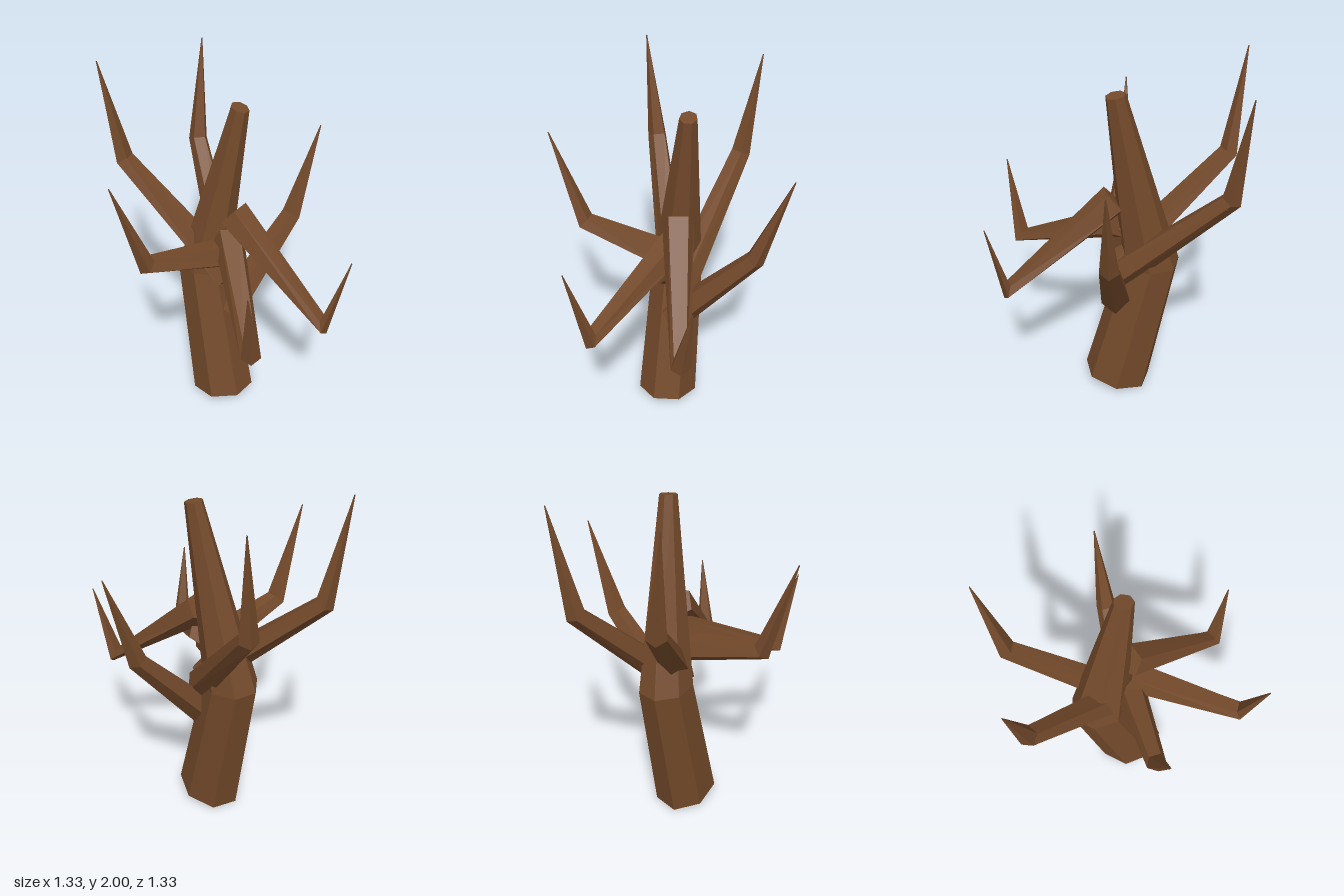
import * as THREE from 'three';

// Faceted limb: rings of vertices around a bent path, square to the path at each point.
// ref sets where angle 0 points; squash narrows the ring sideways.
function limb(path, radii, sides, ref, phase, squash = 1) {
  const pts = path.map((p) => new THREE.Vector3(...p));
  const positions = [];
  const index = [];
  const last = pts.length - 1;
  const dir = (i) => pts[i + 1].clone().sub(pts[i]).normalize();

  pts.forEach((p, i) => {
    const t = new THREE.Vector3();
    if (i > 0) t.add(dir(i - 1));
    if (i < last) t.add(dir(i));
    t.normalize();
    const u = ref.clone().addScaledVector(t, -ref.dot(t)).normalize();
    const v = t.clone().cross(u);
    for (let k = 0; k < sides; k++) {
      const a = phase + (k / sides) * Math.PI * 2;
      const q = p.clone()
        .addScaledVector(u, Math.cos(a) * radii[i])
        .addScaledVector(v, Math.sin(a) * radii[i] * squash);
      positions.push(q.x, q.y, q.z);
    }
  });

  // side faces
  for (let i = 0; i < last; i++) {
    for (let k = 0; k < sides; k++) {
      const n = (k + 1) % sides;
      const a = i * sides + k, b = i * sides + n;
      index.push(a, b, b + sides, a, b + sides, a + sides);
    }
  }
  // end caps
  const e = last * sides;
  for (let k = 1; k < sides - 1; k++) {
    index.push(0, k + 1, k, e, e + k, e + k + 1);
  }

  const g = new THREE.BufferGeometry();
  g.setAttribute('position', new THREE.Float32BufferAttribute(positions, 3));
  g.setIndex(index);
  const flat = g.toNonIndexed();
  flat.computeVertexNormals();
  return flat;
}

export function createModel() {
  const group = new THREE.Group();
  const bark = new THREE.MeshStandardMaterial({ color: 0x744a2b, flatShading: true });
  bark.name = 'bark brown';

  const add = (name, geometry) => {
    const mesh = new THREE.Mesh(geometry, bark);
    mesh.name = name;
    group.add(mesh);
  };

  // seven-sided trunk leaning back, then forward again to a blunt top
  add('trunk', limb(
    [[0, 0.04, 0], [0, 0.86, -0.185], [0.105, 1.88, 0]],
    [0.197, 0.165, 0.053], 7, new THREE.Vector3(0, 0, 1), -0.175, 0.87,
  ));

  // five-sided branches: root, elbow, pointed tip
  const branches = {
    leftBranch: [[0.035, 0.6, 0], [0.485, 1.1, 0], [0.66, 1.61, 0]],
    rightBranch: [[0.04, 1.01, 0], [-0.485, 1.155, 0], [-0.66, 1.68, 0]],
    frontLeftBranch: [[0.06, 1.27, 0.01], [0.25, 0.785, 0.585], [0.33, 1.21, 0.66]],
    frontRightBranch: [[0.04, 1.12, 0], [-0.245, 0.835, 0.585], [-0.33, 1.29, 0.66]],
    backLeftBranch: [[0.06, 0.79, 0], [0.25, 1.4, -0.595], [0.33, 1.97, -0.66]],
    backRightBranch: [[0.04, 0.85, 0], [-0.25, 1.43, -0.595], [-0.33, 2, -0.66]],
  };
  const up = new THREE.Vector3(0, 1, 0);
  for (const [name, path] of Object.entries(branches)) {
    add(name, limb(path, [0.09, 0.055, 0.003], 5, up, Math.PI / 5));
  }

  return group;
}
